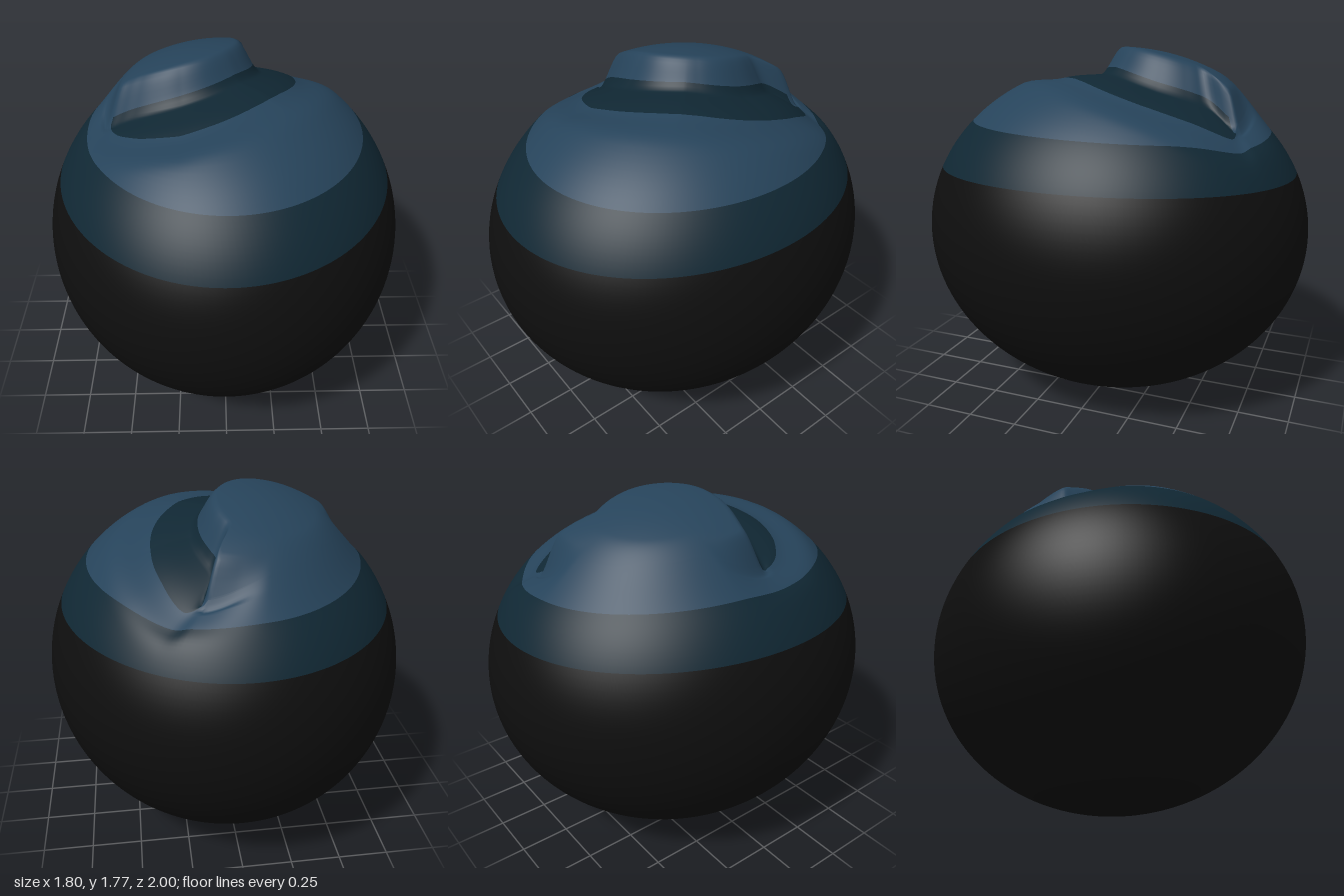
import * as THREE from 'three';

const { smoothstep, lerp } = THREE.MathUtils;
const A = 0.9, B = 0.85, C = 1;            // half sizes of the egg-shaped body
const CX = -0.2, CZ = -0.27;               // centre of the raised lobe, seen from above
const COLS = 240;

// Crescent groove around the lobe: angle, inner radius, outer radius
const GROOVE = [
  [-46, 0.53, 0.534], [-43, 0.44, 0.59], [-40, 0.385, 0.6], [-35, 0.36, 0.597], [-23, 0.352, 0.58],
  [-2, 0.35, 0.57], [15, 0.352, 0.572], [36, 0.352, 0.571], [55, 0.362, 0.588], [73, 0.375, 0.612],
  [90, 0.385, 0.627], [108, 0.405, 0.597], [122, 0.425, 0.558], [131, 0.45, 0.517], [136, 0.476, 0.48],
  [160, 0.36, 0.364], [180, 0.28, 0.284], [225, 0.25, 0.254], [270, 0.33, 0.334], [300, 0.46, 0.464],
  [314, 0.53, 0.534],
];

function grooveAt(deg, k) {
  const a = ((deg + 46) % 360 + 360) % 360 - 46;
  const i = Math.max(1, GROOVE.findIndex((g) => g[0] >= a));
  const p = GROOVE[i - 1], q = GROOVE[i];
  return lerp(p[k], q[k], (a - p[0]) / (q[0] - p[0]));
}
const groove = (deg, k) => (grooveAt(deg - 2, k) + 2 * grooveAt(deg, k) + grooveAt(deg + 2, k)) / 4;

// Distance from the lobe centre to an ellipse along a direction
function rayToEllipse(dx, dz, ex, ez, sx, sz) {
  const ox = (CX - ex) / sx, oz = (CZ - ez) / sz, ux = dx / sx, uz = dz / sz;
  const a = ux * ux + uz * uz, b = ox * ux + oz * uz, c = ox * ox + oz * oz - 1;
  return (-b + Math.sqrt(b * b - a * c)) / a;
}

// Height of lobe, groove and shoulder relative to the plain egg
function relief(deg, r, rIn, rOut, rTop) {
  const top = 0.076;
  const side = Math.min(1, Math.abs(deg - 45) / 45);
  const edge = lerp(-0.04, -0.062, side);
  const floor = edge - 0.012;
  let front = lerp(top, floor, smoothstep(r, rIn - 0.085, rIn + 0.04));
  if (r > rIn + 0.04) front = lerp(floor, edge, smoothstep(r, rIn + 0.04, Math.max(rOut, rIn + 0.05)));
  if (r > rOut) front *= 1 - smoothstep(r, rOut, rOut + 0.22);
  const back = top * (1 - smoothstep(r, rTop * 0.45, rTop * 1.03));
  const w = 1 - smoothstep(Math.abs(deg - 45), 88, 122);
  return lerp(back, front, w);
}

export function createModel() {
  const ROWS = { lobe: 30, groove: 18, shoulder: 14, band: 10, body: 44 };
  const total = Object.values(ROWS).reduce((s, n) => s + n, 0);
  const pos = new Float32Array((total + 1) * COLS * 3);
  const inCrescent = [];

  for (let j = 0; j < COLS; j++) {
    const deg = -135 + (j / COLS) * 360;
    const dx = Math.cos(deg * Math.PI / 180), dz = Math.sin(deg * Math.PI / 180);
    const rIn = groove(deg, 1), rOut = groove(deg, 2);
    const rTop = rayToEllipse(dx, dz, 0.005, -0.02, 0.675, 0.77);
    const rBand = rayToEllipse(dx, dz, 0, 0, 0.82, 0.924);
    inCrescent.push(deg > -46 && deg < 136);

    let row = 0;
    const put = (x, y, z) => pos.set([x, y, z], (row++ * COLS + j) * 3);
    const drop = (r) => {
      const x = CX + dx * r, z = CZ + dz * r;
      const y = B + B * Math.sqrt(1 - (x / A) ** 2 - (z / C) ** 2);
      const fade = 1 - smoothstep(r, rTop, rBand);
      put(x, y + relief(deg, r, rIn, rOut, rTop) * fade, z);
    };
    // Cap rows, from the lobe centre out to the lower edge of the band
    const stops = [0, rIn, rOut, rTop, rBand];
    [ROWS.lobe, ROWS.groove, ROWS.shoulder, ROWS.band].forEach((n, k) => {
      for (let i = 0; i < n; i++) drop(lerp(stops[k], stops[k + 1], i / n));
    });
    // Body rows, from the band down to the bottom point
    const bx = (CX + dx * rBand) / A, bz = (CZ + dz * rBand) / C;
    const rho = Math.hypot(bx, bz), start = Math.acos(rho);
    for (let i = 0; i <= ROWS.body; i++) {
      const e = lerp(start, -Math.PI / 2, i / ROWS.body), s = Math.cos(e) / rho;
      put(A * bx * s, B + B * Math.sin(e), C * bz * s);
    }
  }

  // Faces of each part share one set of points, so the shading runs on smoothly
  const faces = { lobe: [], groove: [], shoulder: [], band: [], body: [] };
  let row = 0;
  for (const [name, n] of Object.entries(ROWS)) {
    for (let i = 0; i < n; i++, row++) {
      for (let j = 0; j < COLS; j++) {
        const j2 = (j + 1) % COLS;
        const a = row * COLS + j, b = row * COLS + j2;
        const c = a + COLS, d = b + COLS;
        const closed = name === 'groove' && !(inCrescent[j] && inCrescent[j2]);
        const list = faces[closed ? 'lobe' : name];
        if (row > 0) list.push(a, b, c);
        if (row < total - 1) list.push(b, d, c);
      }
    }
  }
  const whole = new THREE.BufferGeometry();
  whole.setAttribute('position', new THREE.BufferAttribute(pos, 3));
  whole.setIndex(Object.values(faces).flat());
  whole.computeVertexNormals();

  const material = (name, color) => {
    const m = new THREE.MeshStandardMaterial({ color });
    m.name = name;
    return m;
  };
  const black = material('black', 0x0e0e0e);
  const darkTeal = material('dark teal', 0x102733);
  const slateBlue = material('slate blue', 0x26435a);
  const parts = { lobe: slateBlue, groove: darkTeal, shoulder: slateBlue, band: darkTeal, body: black };

  const group = new THREE.Group();
  group.name = 'eggWithCurledTop';
  for (const [name, mat] of Object.entries(parts)) {
    const g = new THREE.BufferGeometry();
    g.setAttribute('position', whole.getAttribute('position'));
    g.setAttribute('normal', whole.getAttribute('normal'));
    g.setIndex(faces[name]);
    const mesh = new THREE.Mesh(g, mat);
    mesh.name = name;
    group.add(mesh);
  }
  return group;
}
